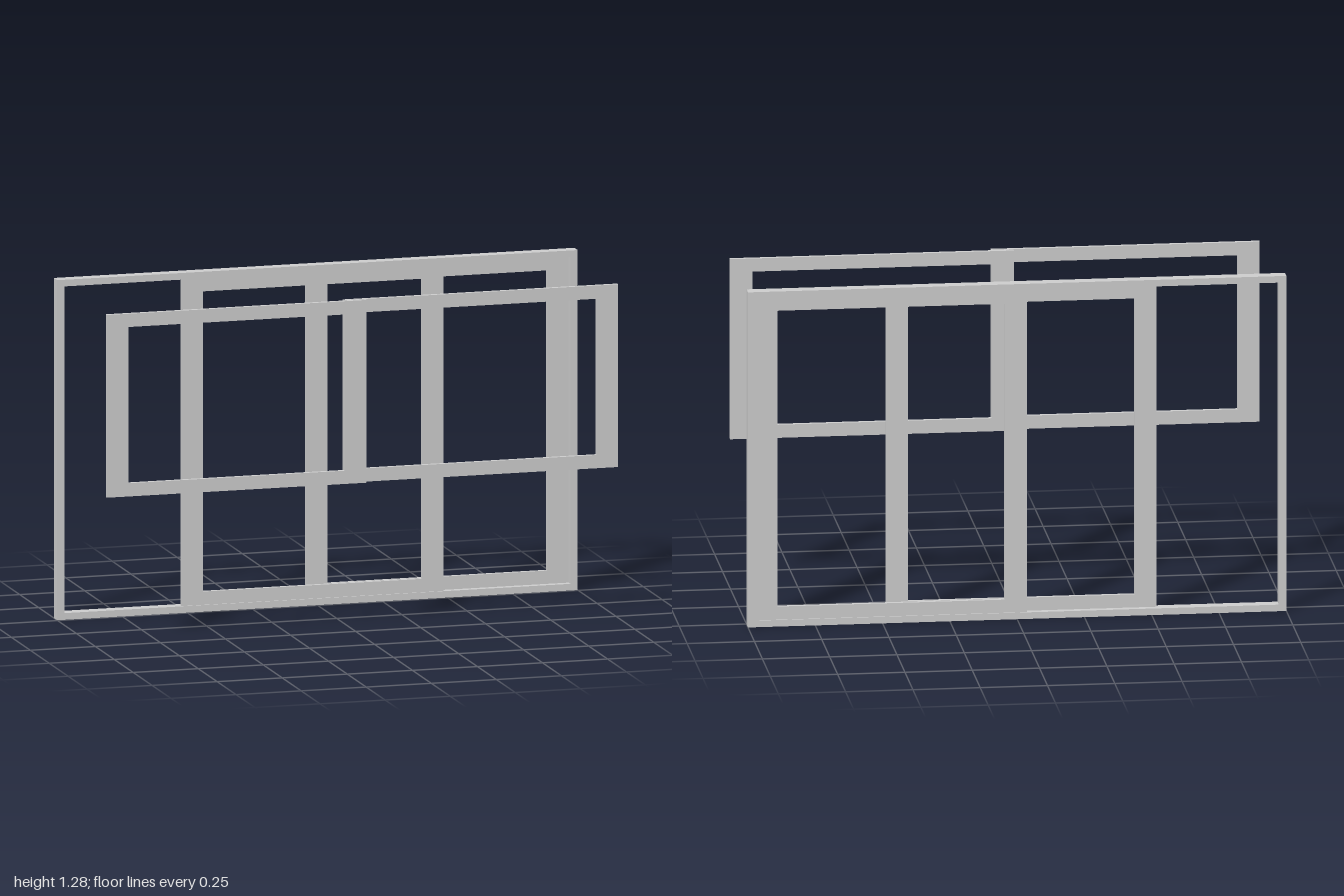
import * as THREE from 'three';

const material = new THREE.MeshStandardMaterial({ color: 0xcccccc, flatShading: true });

function rect(target, x0, x1, y0, y1) {
  target.moveTo(x0, y0);
  target.lineTo(x1, y0);
  target.lineTo(x1, y1);
  target.lineTo(x0, y1);
  target.closePath();
  return target;
}

// Rectangular frame spanning x0..x1, y0..y1, z0..z1 with given stile and rail widths
function frame(name, [x0, x1], [y0, y1], [z0, z1], stile, rail) {
  const shape = rect(new THREE.Shape(), x0, x1, y0, y1);
  shape.holes.push(rect(new THREE.Path(), x0 + stile, x1 - stile, y0 + rail, y1 - rail));
  const geometry = new THREE.ExtrudeGeometry(shape, { depth: z1 - z0, bevelEnabled: false });
  geometry.translate(0, 0, z0);
  const mesh = new THREE.Mesh(geometry, material);
  mesh.name = name;
  return mesh;
}

export function createModel() {
  const model = new THREE.Group();
  model.name = 'slidingWindow';

  // Outer frame with two sliding sashes on separate tracks
  const windowUnit = new THREE.Group();
  windowUnit.name = 'windowUnit';
  const sashY = [0.025, 1.255];
  windowUnit.add(
    frame('outerFrame', [-1, 1], [0, 1.28], [-0.3, -0.256], 0.028, 0.025),
    frame('frontSash', [-0.52, 0.485], sashY, [-0.276, -0.261], 0.082, 0.05),
    frame('backSash', [-0.036, 0.972], sashY, [-0.295, -0.28], 0.082, 0.05)
  );

  // Pair of overlapping screens standing clear of the window
  const screens = new THREE.Group();
  screens.name = 'screens';
  const screenY = [0.568, 1.256];
  screens.add(
    frame('frontScreen', [-0.97, 0.028], screenY, [0.285, 0.3], 0.083, 0.05),
    frame('backScreen', [-0.055, 1], screenY, [0.265, 0.28], 0.083, 0.05)
  );

  model.add(windowUnit, screens);
  return model;
}
